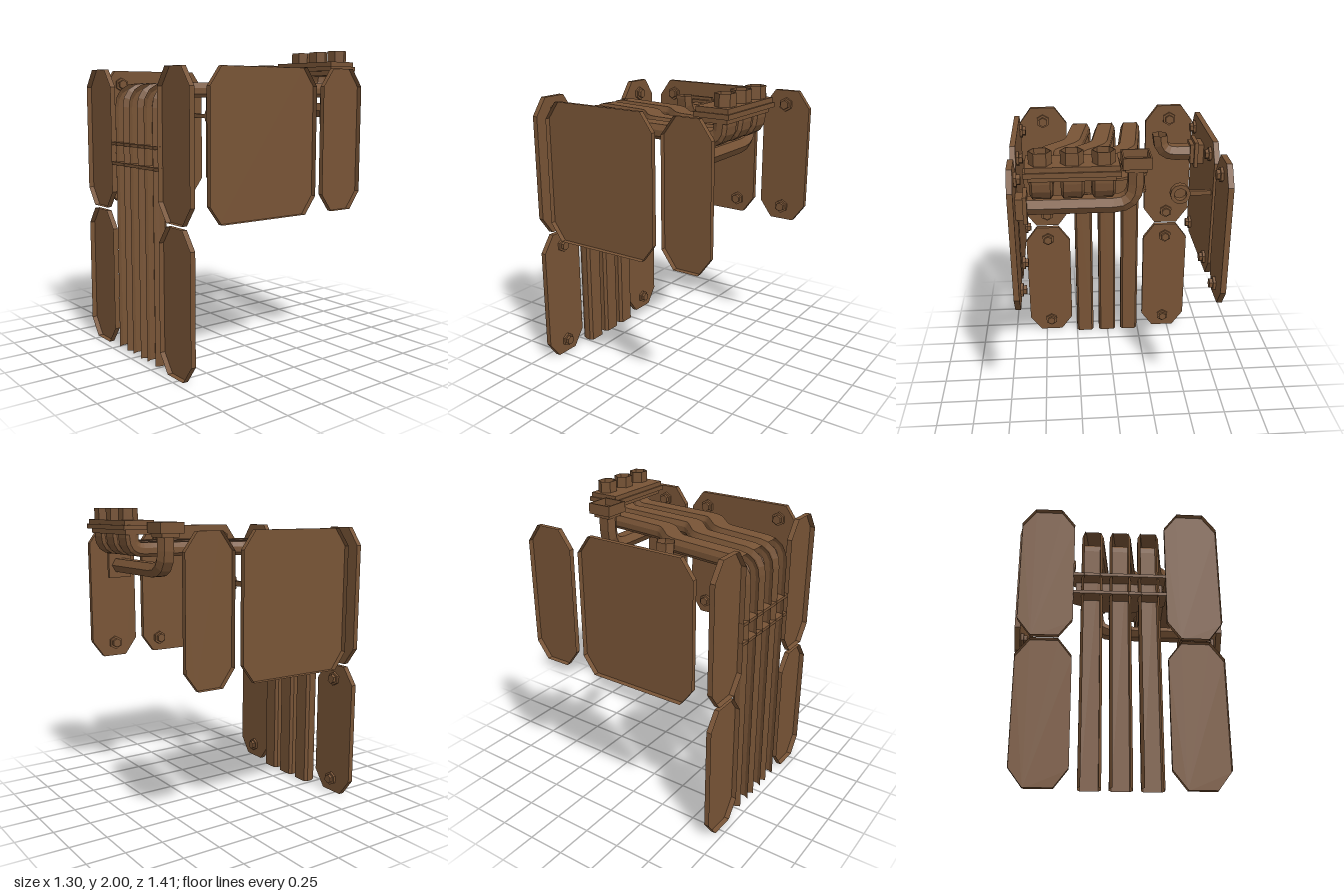
import * as THREE from 'three';

const bronze = new THREE.MeshStandardMaterial({ color: 0x785436, side: THREE.DoubleSide });
bronze.name = 'bronze';

const V = (x, y, z) => new THREE.Vector3(x, y, z);

function add(parent, name, geometry, x = 0, y = 0, z = 0) {
  const g = geometry.index ? geometry.toNonIndexed() : geometry;
  g.computeVertexNormals();
  const mesh = new THREE.Mesh(g, bronze);
  mesh.name = name;
  mesh.position.set(x, y, z);
  parent.add(mesh);
  return mesh;
}

// box given by its limits
function block(parent, name, x0, x1, y0, y1, z0, z1) {
  return add(parent, name, new THREE.BoxGeometry(x1 - x0, y1 - y0, z1 - z0),
    (x0 + x1) / 2, (y0 + y1) / 2, (z0 + z1) / 2);
}

function polygon(points) {
  return new THREE.Shape(points.map(([x, y]) => new THREE.Vector2(x, y)));
}

const extrude = (shape, depth) =>
  new THREE.ExtrudeGeometry(shape, { depth, bevelEnabled: false, curveSegments: 6 });

// shallow tray: a convex floor at -depth with walls up to 0, open in front
function tray(points, depth) {
  const n = points.length, pos = [], index = [];
  for (const z of [0, -depth]) for (const [x, y] of points) pos.push(x, y, z);
  for (let i = 0; i < n; i++) {
    const j = (i + 1) % n;
    index.push(i, i + n, j + n, i, j + n, j);
    if (i > 0 && i < n - 1) index.push(n, n + j, n + i);
  }
  const g = new THREE.BufferGeometry();
  g.setAttribute('position', new THREE.Float32BufferAttribute(pos, 3));
  g.setIndex(index);
  return g;
}

// round off every inner corner of a path; each point is [x, y, z, radius]
function roundedPath(points) {
  const p = points.map(([x, y, z]) => V(x, y, z));
  const out = [p[0]];
  for (let i = 1; i < p.length - 1; i++) {
    const r = points[i][3];
    const a = p[i].clone().add(p[i - 1].clone().sub(p[i]).setLength(r));
    const b = p[i].clone().add(p[i + 1].clone().sub(p[i]).setLength(r));
    out.push(...new THREE.QuadraticBezierCurve3(a, p[i], b).getPoints(4));
  }
  out.push(p[p.length - 1]);
  return out;
}

// sweep a cross-section along a path, keeping its sides level (uprightSide where it climbs);
// the outer face (profile edge 4) is left open for the first openSteps steps
function sweep(points, profile, uprightSide, openSteps = 0) {
  const path = roundedPath(points), n = profile.length, pos = [], index = [];
  path.forEach((p, i) => {
    const before = p.clone().sub(path[Math.max(i - 1, 0)]).normalize();
    const after = path[Math.min(i + 1, path.length - 1)].clone().sub(p).normalize();
    const t = before.add(after).normalize();
    const side = Math.abs(t.y) > 0.02 ? uprightSide : V(-t.z, 0, t.x).normalize();
    const normal = side.clone().cross(t).normalize();
    for (const [u, v] of profile) {
      const q = p.clone().addScaledVector(side, u).addScaledVector(normal, v);
      pos.push(q.x, q.y, q.z);
    }
  });
  for (let i = 0; i < path.length - 1; i++) for (let j = 0; j < n; j++) {
    if (i < openSteps && j === 4) continue;
    const a = i * n + j, b = i * n + (j + 1) % n;
    index.push(a, a + n, b + n, a, b + n, b);
  }
  const g = new THREE.BufferGeometry();
  g.setAttribute('position', new THREE.Float32BufferAttribute(pos, 3));
  g.setIndex(index);
  return g;
}

// tray-shaped plate with cut corners and hex bolts on its back (local -z)
function armourPlate(parent, name, w, h, boltXs, x, y, z, turn) {
  const group = new THREE.Group();
  group.name = name;
  const a = w / 2, b = h / 2, cx = 0.085, cy = 0.115, t = 0.035;
  add(group, 'plate', tray([[-a + cx, -b], [a - cx, -b], [a, -b + cy], [a, b - cy],
    [a - cx, b], [-a + cx, b], [-a, b - cy], [-a, -b + cy]], t));
  for (const bx of boltXs) for (const by of [-b + 0.095, b - 0.095]) {
    add(group, 'boltWasher', new THREE.CylinderGeometry(0.048, 0.048, 0.017, 6), bx, by, -t - 0.0095).rotation.x = Math.PI / 2;
    add(group, 'boltHead', new THREE.CylinderGeometry(0.032, 0.032, 0.022, 6), bx, by, -t - 0.028).rotation.x = Math.PI / 2;
  }
  group.position.set(x, y, z);
  group.rotation.y = turn;
  parent.add(group);
}

export function createModel() {
  const model = new THREE.Group();
  model.name = 'pipeAssembly';

  // front and side plates, mirrored
  for (const s of [-1, 1]) {
    const label = s > 0 ? 'left' : 'right', turn = s * Math.PI / 2;
    armourPlate(model, label + 'LowerFrontPlate', 0.34, 0.925, [0], s * 0.46, 0.4655, 0.705, 0);
    armourPlate(model, label + 'UpperFrontPlate', 0.34, 0.925, [0], s * 0.46, 1.4125, 0.705, 0);
    armourPlate(model, label + 'LargeSidePlate', 0.83, 0.925, [-0.285, 0.285], s * 0.65, 1.4125, 0.16, turn);
    armourPlate(model, label + 'SmallSidePlate', 0.34, 0.925, [0], s * 0.65, 1.4125, -0.49, turn);
  }

  // three long pipes: open troughs up the front, closed along the top and into the manifold
  const pipeProfile = [[-0.052, -0.046], [0.052, -0.046], [0.067, -0.025], [0.067, 0.012],
    [0.05, 0.045], [-0.05, 0.045], [-0.067, 0.012], [-0.067, -0.025]];
  const routes = [
    [-0.175, -0.10, 0.08, 0.058, -0.085, 0.098],
    [0.003, 0.08, 0.155, 0.24, 0.005, 0.275],
    [0.183, 0.26, 0.21, 0.428, 0.045, 0.453],
  ];
  for (const [x0, x1, z1, x2, z2, x3] of routes) {
    add(model, 'longPipe', sweep([[x0, 0.01, 0.66], [x0, 1.738, 0.66, 0.11], [x1, 1.738, z1, 0.05],
      [x2, 1.738, z2, 0.05], [x3, 1.738, -0.48, 0.03], [x3, 1.738, -0.625, 0.08],
      [x3, 1.85, -0.625]], pipeProfile, V(1, 0, 0), 4));
    // hollow hexagonal outlet
    const hex = (k) => [[-0.066, 0], [-0.035, -0.052], [0.035, -0.052], [0.066, 0], [0.035, 0.052], [-0.035, 0.052]]
      .map(([x, y]) => [x * k, y * k]);
    const outlet = polygon(hex(1));
    outlet.holes.push(polygon(hex(0.93)));
    add(model, 'outlet', extrude(outlet, 0.08), x3, 1.92, -0.625).rotation.x = -Math.PI / 2;
  }

  // layered manifold flange
  block(model, 'manifoldBase', 0.03, 0.525, 1.835, 1.865, -0.68, -0.5);
  block(model, 'manifoldFlange', 0, 0.55, 1.865, 1.895, -0.705, -0.475);
  block(model, 'manifoldTop', 0.01, 0.54, 1.895, 1.925, -0.695, -0.485);

  // channel bracket around the front pipes
  const rib = polygon([[-0.292, -0.703], [0.292, -0.703], [0.292, -0.565], [0.09, -0.47], [-0.09, -0.47], [-0.292, -0.565]]);
  for (const y of [1.25, 1.38]) add(model, 'bracketRib', extrude(rib, 0.02), 0, y, 0).rotation.x = -Math.PI / 2;
  const web = polygon([[-0.275, -0.61], [0.275, -0.61], [0.275, -0.58], [0.08, -0.495], [-0.08, -0.495], [-0.275, -0.58]]);
  add(model, 'bracketWeb', extrude(web, 0.11), 0, 1.27, 0).rotation.x = -Math.PI / 2;

  // cross pipe from the rear cup to the left rear plate
  const tubeProfile = [[-0.062, 0], [-0.035, -0.046], [0.035, -0.046], [0.062, 0], [0.035, 0.046], [-0.035, 0.046]];
  add(model, 'crossPipe', sweep([[-0.1, 1.84, -0.467], [-0.1, 1.607, -0.467, 0.13], [0.56, 1.607, -0.467]],
    tubeProfile, V(0, 0, 1)));
  block(model, 'crossPipeFlange', 0.545, 0.57, 1.52, 1.69, -0.552, -0.385);
  block(model, 'crossPipeMount', 0.57, 0.614, 1.54, 1.67, -0.53, -0.405);

  // square intake cup with an open top
  const square = (a) => polygon([[-a, -a], [a, -a], [a, a], [-a, a]]);
  const rim = square(0.085);
  rim.holes.push(square(0.075));
  add(model, 'cupRim', extrude(rim, 0.05), -0.103, 1.865, -0.467).rotation.x = -Math.PI / 2;
  block(model, 'cupFloor', -0.188, -0.018, 1.845, 1.867, -0.552, -0.382);
  block(model, 'cupNeck', -0.165, -0.035, 1.82, 1.845, -0.53, -0.405);

  // upturned pipe on the right side plate
  block(model, 'sidePipeMount', -0.614, -0.575, 1.635, 1.765, 0.1, 0.232);
  block(model, 'sidePipeFlange', -0.575, -0.55, 1.615, 1.785, 0.08, 0.252);
  block(model, 'sidePipeCollar', -0.55, -0.525, 1.635, 1.765, 0.1, 0.232);
  add(model, 'sidePipe', sweep([[-0.53, 1.7, 0.165], [-0.325, 1.7, 0.165, 0.11], [-0.325, 1.825, 0.165]],
    tubeProfile, V(0, 0, 1)));

  // small ring on an arm, right side plate
  block(model, 'ringArm', -0.614, -0.47, 1.535, 1.565, -0.213, -0.187);
  const ring = new THREE.Shape().absarc(-0.415, 1.55, 0.065, 0, Math.PI * 2);
  ring.holes.push(new THREE.Path().absarc(-0.415, 1.55, 0.04, 0, Math.PI * 2, true));
  add(model, 'ring', extrude(ring, 0.045), 0, 0, -0.23);

  return model;
}
